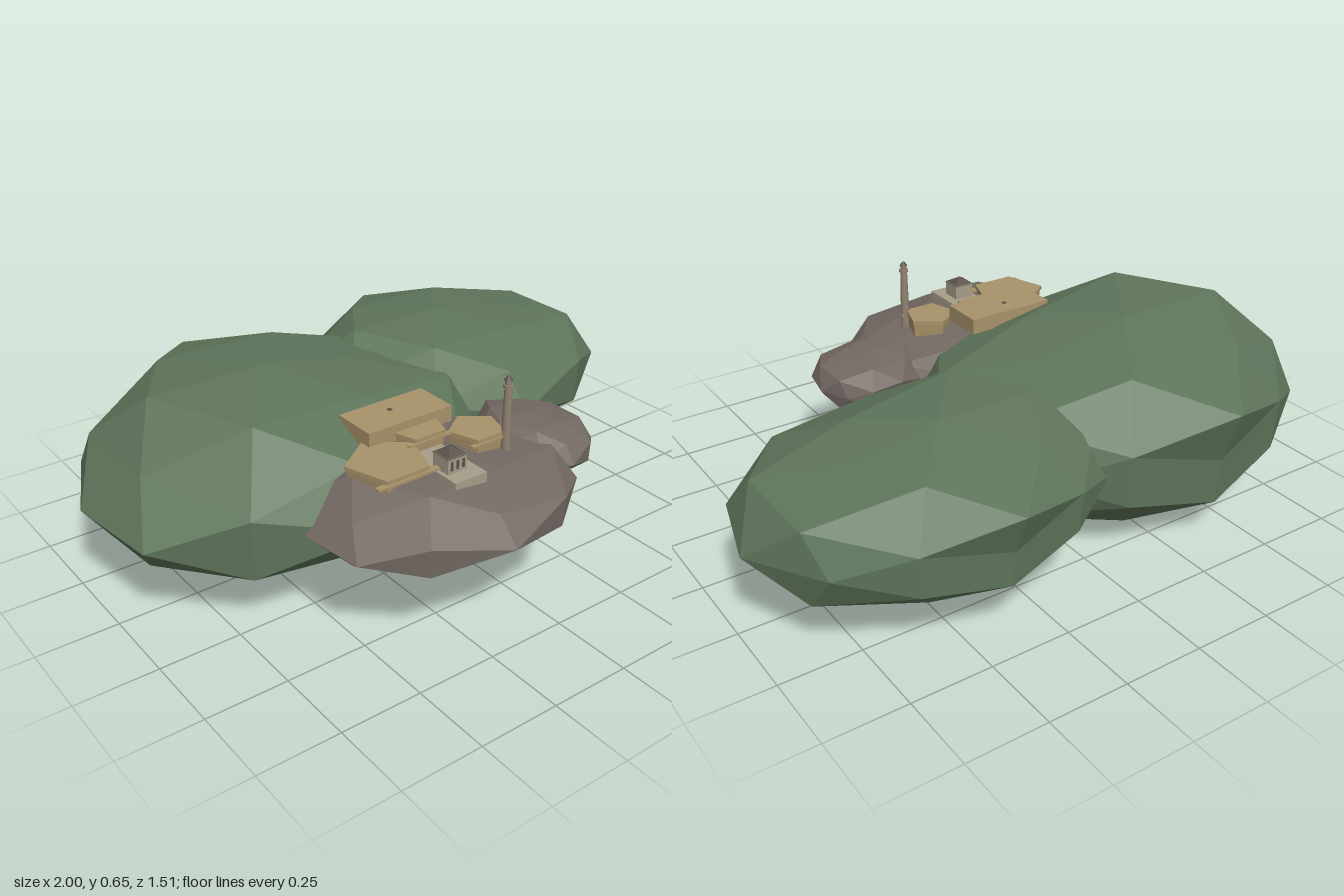
import * as THREE from 'three';

const mat = (name, color) => {
  const m = new THREE.MeshStandardMaterial({ color });
  m.name = name;
  return m;
};

// Radial bumps [x, y, z, factor] shared by all the faceted masses
const BUMPS = [
  [1, 0, 0, 1.1], [0, 0, 1, 1.12], [0, 0, -1, .87],
  [-.526, .851, 0, 1.18], [-.526, -.851, 0, 1.17], [.526, .851, 0, .93], [.526, -.851, 0, .85],
  [0, .526, -.851, 1.16], [0, .526, .851, 1.08],
  [-.851, 0, -.526, .95], [.851, 0, -.526, .99], [-.851, 0, .526, 1.1], [.851, 0, .526, 1.14],
  [-.309, .809, .5, 1.2], [-.309, .809, -.5, 1.08], [.309, .809, -.5, 1.05], [.309, -.809, -.5, 1.04],
  [-.5, .309, .809, 1.11], [-.5, -.309, .809, 1.08], [.5, .309, .809, 1.16], [.5, -.309, .809, 1.14],
  [-.5, .309, -.809, .94], [-.5, -.309, -.809, .92], [.5, .309, -.809, .98], [.5, -.309, -.809, .96],
  [.809, .5, .309, 1.13], [.809, .5, -.309, 1.12], [.809, -.5, .309, 1.08], [.809, -.5, -.309, 1.08],
];

function bumpyMass(radii, center, material, name) {
  const geo = new THREE.IcosahedronGeometry(1, 1);
  const p = geo.attributes.position;
  const v = new THREE.Vector3();
  for (let i = 0; i < p.count; i++) {
    v.fromBufferAttribute(p, i);
    const b = BUMPS.find(([x, y, z]) => Math.hypot(v.x - x, v.y - y, v.z - z) < 0.05);
    v.multiplyScalar(b ? b[3] : 1);
    p.setXYZ(i, v.x * radii[0], v.y * radii[1], v.z * radii[2]);
  }
  geo.computeVertexNormals();
  const mesh = new THREE.Mesh(geo, material);
  mesh.position.set(...center);
  mesh.name = name;
  return mesh;
}

// Box given by its limits on each axis
function block(x0, x1, y0, y1, z0, z1, material, name) {
  const mesh = new THREE.Mesh(new THREE.BoxGeometry(x1 - x0, y1 - y0, z1 - z0), material);
  mesh.position.set((x0 + x1) / 2, (y0 + y1) / 2, (z0 + z1) / 2);
  mesh.name = name;
  return mesh;
}

// Upright prism or cone: faceted with few sides, smooth when round
function prism(rTop, rBottom, y0, y1, sides, x, z, turn, material, name) {
  let geo = new THREE.CylinderGeometry(rTop, rBottom, y1 - y0, sides);
  if (sides < 8) {
    geo = geo.toNonIndexed();
    geo.computeVertexNormals();
  }
  const mesh = new THREE.Mesh(geo, material);
  mesh.position.set(x, (y0 + y1) / 2, z);
  mesh.rotation.y = turn;
  mesh.name = name;
  return mesh;
}

export function createModel() {
  const model = new THREE.Group();
  model.name = 'hillsideSettlement';
  const green = mat('forest green', 0x5f765b);
  const rock = mat('grey brown rock', 0x746a64);
  const tan = mat('tan stone', 0xa8926a);
  const pale = mat('pale stone', 0xa79e8a);
  const towerStone = mat('tower stone', 0x8f8270);
  const dark = mat('dark slate', 0x5a524a);

  // Hills and rocky ledge
  model.add(
    bumpyMass([.62, .287, .54], [-.38, .292, -.18], green, 'largeHill'),
    bumpyMass([.545, .215, .43], [.4, .306, -.335], green, 'smallHill'),
    bumpyMass([.41, .135, .35], [-.18, .325, .36], rock, 'rockLedge'),
    bumpyMass([.175, .095, .19], [.24, .34, .32], rock, 'sideRock'),
  );

  // Long hall at the back
  model.add(
    block(-.335, -.04, .48, .53, .155, .3, tan, 'longHall'),
    block(-.206, -.194, .53, .533, .209, .221, dark, 'hallVent'),
  );

  // Five-sided houses with a flat roof slab: x, z, radius, base, top
  for (const [x, z, r, y0, y1] of [
    [-.335, .385, .122, .41, .488],
    [-.17, .295, .09, .42, .505],
    [-.01, .375, .085, .41, .482],
  ]) {
    const house = new THREE.Group();
    house.name = 'fiveSidedHouse';
    house.add(
      prism(r * .96, r * .9, y0, y1 - .012, 5, x, z, Math.PI, tan, 'houseWalls'),
      prism(r, r, y1 - .012, y1, 5, x, z, Math.PI, tan, 'houseRoof'),
      block(x - r * .85, x + r * .85, y1 - .02, y1 - .013, z + r * .7, z + r * .86, tan, 'frontEave'),
    );
    model.add(house);
  }

  // Pale terrace and gatehouse
  model.add(
    block(-.245, -.135, .425, .465, .37, .57, pale, 'terrace'),
    block(-.233, -.167, .465, .512, .457, .523, pale, 'gatehouse'),
    prism(0, .05, .51, .532, 4, -.2, .49, Math.PI / 4, dark, 'gatehouseRoof'),
  );
  for (let i = 0; i < 3; i++) {
    const x = -.22 + i * .02;
    model.add(block(x - .004, x + .004, .475, .502, .522, .525, dark, 'gatehouseWindow'));
  }

  // Watchtower
  const tower = new THREE.Group();
  tower.name = 'watchtower';
  tower.add(
    prism(.011, .016, .41, .625, 16, .045, .445, 0, towerStone, 'towerShaft'),
    prism(.015, .015, .62, .628, 16, .045, .445, 0, towerStone, 'towerCollar'),
    prism(.01, .01, .628, .642, 16, .045, .445, 0, towerStone, 'towerLantern'),
    prism(.003, .013, .642, .655, 16, .045, .445, 0, dark, 'towerCap'),
  );
  model.add(tower);

  return model;
}
